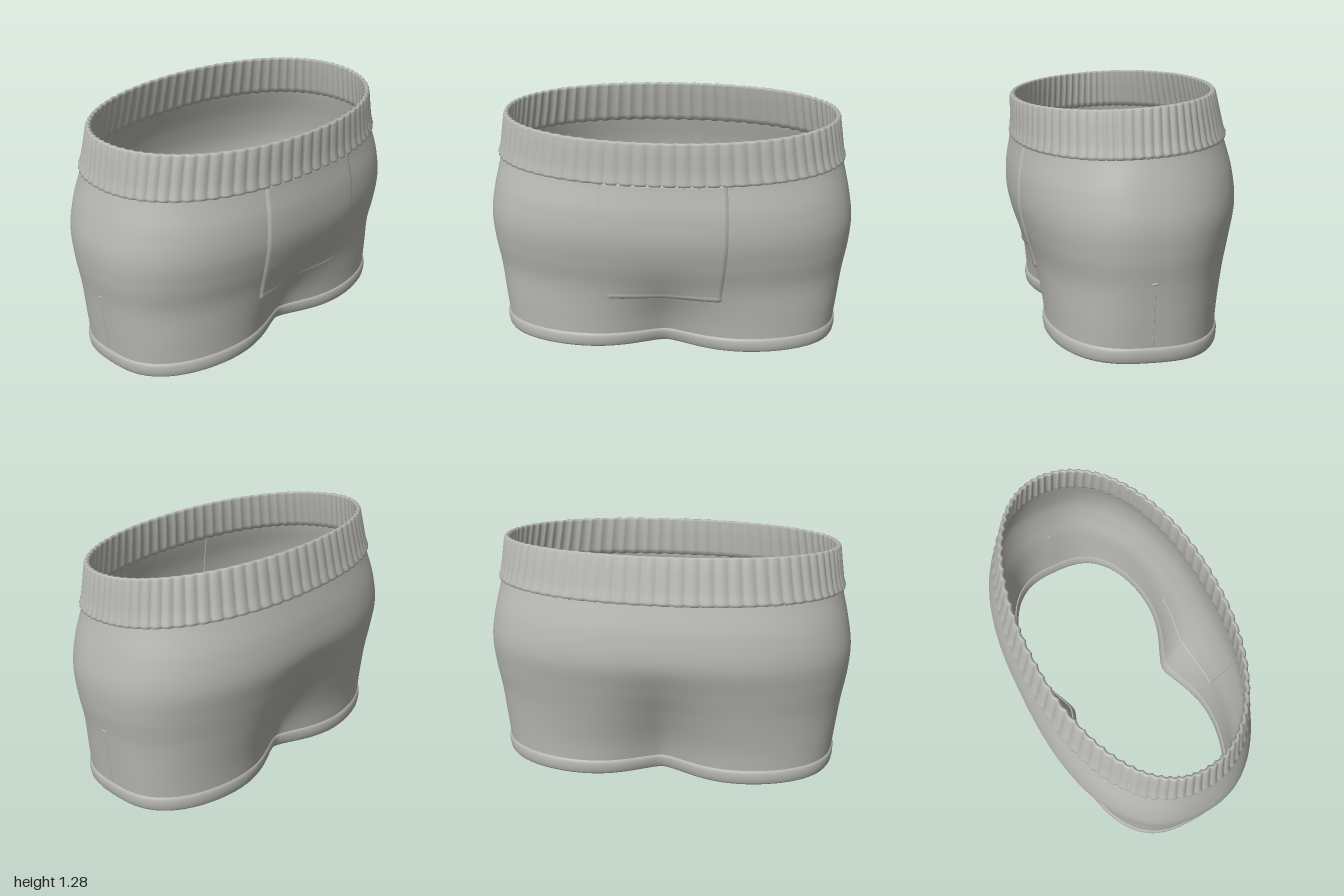
import * as THREE from 'three';

// Cross-sections up the garment:
// height, half width, front depth, back depth, squareness, front pinch, back pinch
const SECTIONS = [
  [0.02, 0.925, 0.475, 0.47, 2.8, 0.15, 0.165],
  [0.2, 0.945, 0.485, 0.485, 2.7, 0.1, 0.13],
  [0.4, 0.968, 0.507, 0.525, 2.5, 0.03, 0.08],
  [0.55, 0.991, 0.543, 0.557, 2.45, 0.005, 0.035],
  [0.7, 0.998, 0.572, 0.588, 2.4, 0, 0.005],
  [0.85, 0.973, 0.572, 0.577, 2.35, 0, 0],
  [1.03, 0.93, 0.548, 0.535, 2.2, 0, 0],
  [1.25, 0.895, 0.543, 0.485, 2.1, 0, 0],
];
const sectionCurve = new THREE.CubicInterpolant(
  SECTIONS.map((s) => s[0]), SECTIONS.flatMap((s) => s.slice(1)), 6);

function sectionPoint(angle, t) {
  const [halfX, front, back, n, pinchF, pinchB] =
    sectionCurve.evaluate(THREE.MathUtils.clamp(t, 0.02, 1.25));
  const c = Math.cos(angle), s = Math.sin(angle);
  const r = Math.pow(Math.abs(c) ** n + Math.abs(s) ** n, -1 / n);
  const x = halfX * c * r;
  const dip = Math.exp(-Math.pow(Math.abs(x) / 0.25, 1.5)) * Math.abs(s);
  const z = s > 0 ? front * s * r - pinchF * dip : back * s * r + pinchB * dip;
  return [x, z];
}

// Point on the cloth, pushed outwards by offset; the waist tilts up at the back
function clothPoint(angle, t, offset = 0) {
  const e = 0.004;
  const [x, z] = sectionPoint(angle, t);
  const [x0, z0] = sectionPoint(angle - e, t);
  const [x1, z1] = sectionPoint(angle + e, t);
  const len = Math.hypot(x1 - x0, z1 - z0);
  const px = x + ((z1 - z0) / len) * offset;
  const pz = z - ((x1 - x0) / len) * offset;
  return [px, t + pz * (0.02 - 0.075 * t), pz];
}

// Grid of points; columns and rows may close on themselves
function gridGeometry(cols, rows, point, wrapCols, wrapRows) {
  const positions = [], index = [];
  for (let j = 0; j < rows; j++)
    for (let i = 0; i < cols; i++) positions.push(...point(i, j));
  for (let j = 0; j < (wrapRows ? rows : rows - 1); j++) {
    for (let i = 0; i < (wrapCols ? cols : cols - 1); i++) {
      const i1 = (i + 1) % cols, j1 = (j + 1) % rows;
      const a = j * cols + i, b = j * cols + i1;
      const c = j1 * cols + i, d = j1 * cols + i1;
      index.push(a, c, b, b, c, d);
    }
  }
  const geometry = new THREE.BufferGeometry();
  geometry.setAttribute('position', new THREE.Float32BufferAttribute(positions, 3));
  geometry.setIndex(index);
  geometry.computeVertexNormals();
  return geometry;
}

// Ring with a closed profile of [height, offset] points
function ringGeometry(profile, segments, ripple = () => 0) {
  return gridGeometry(segments, profile.length, (i, j) => {
    const angle = (i / segments) * Math.PI * 2;
    const [t, offset] = profile[j];
    return clothPoint(angle, t, offset + ripple(angle));
  }, true, true);
}

// Raised patch lying on the cloth, with its border tucked in
function patchGeometry(angle, halfAngle, t0, t1, cols, rows, height) {
  return gridGeometry(cols + 1, rows + 1, (i, j) => {
    const u = i / cols, v = j / rows;
    const edge = i === 0 || j === 0 || i === cols || j === rows;
    return clothPoint(angle + (u * 2 - 1) * halfAngle(v), t0 + (t1 - t0) * v,
      edge ? -0.004 : height(u, v));
  }, false, false);
}

export function createModel() {
  const model = new THREE.Group();
  const cloth = new THREE.MeshStandardMaterial({ color: 0xb8b8b4, side: THREE.DoubleSide });
  cloth.name = 'grey cloth';
  const add = (name, geometry) => {
    const mesh = new THREE.Mesh(geometry, cloth);
    mesh.name = name;
    model.add(mesh);
  };

  // Main cloth tube
  const around = 192, up = 56;
  add('body', gridGeometry(around, up + 1, (i, j) =>
    clothPoint((i / around) * Math.PI * 2, 0.03 + (j / up) * 1.01), true, false));

  // Ribbed waistband
  const ribs = 80;
  const ribDepth = (angle) => 0.009 * (Math.abs(Math.sin((angle * ribs) / 2)) - 0.7);
  add('waistband', ringGeometry([
    [1.03, -0.012], [1.014, 0.002], [1.018, 0.012], [1.032, 0.016], [1.05, 0.011],
    [1.1, 0.011], [1.17, 0.011], [1.235, 0.011], [1.247, 0.005], [1.247, -0.005],
    [1.235, -0.012], [1.14, -0.013], [1.05, -0.013],
  ], ribs * 8, ribDepth));

  // Rolled bottom hem
  add('hem', ringGeometry([
    [0.03, -0.01], [0.014, -0.006], [0.013, 0.004], [0.025, 0.011], [0.05, 0.013],
    [0.075, 0.011], [0.09, 0.005], [0.095, -0.003], [0.09, -0.009], [0.06, -0.011],
  ], 240));

  // Front panel with a stitched lower edge
  add('frontPanel', patchGeometry(Math.PI / 2, (v) => 0.315 + 0.04 * v, 0.325, 1.04, 48, 48,
    (u, v) => (v < 0.035 ? 0.015 : 0.009)));

  // Side seams, each topped by a short stitch
  for (const [side, angle] of [['left', 0], ['right', Math.PI]]) {
    add(side + 'Seam', patchGeometry(angle, () => 0.008, 0.08, 0.42, 4, 16, () => 0.002));
    add(side + 'Stitch', patchGeometry(angle, () => 0.035, 0.417, 0.43, 6, 4, () => 0.004));
  }
  return model;
}
